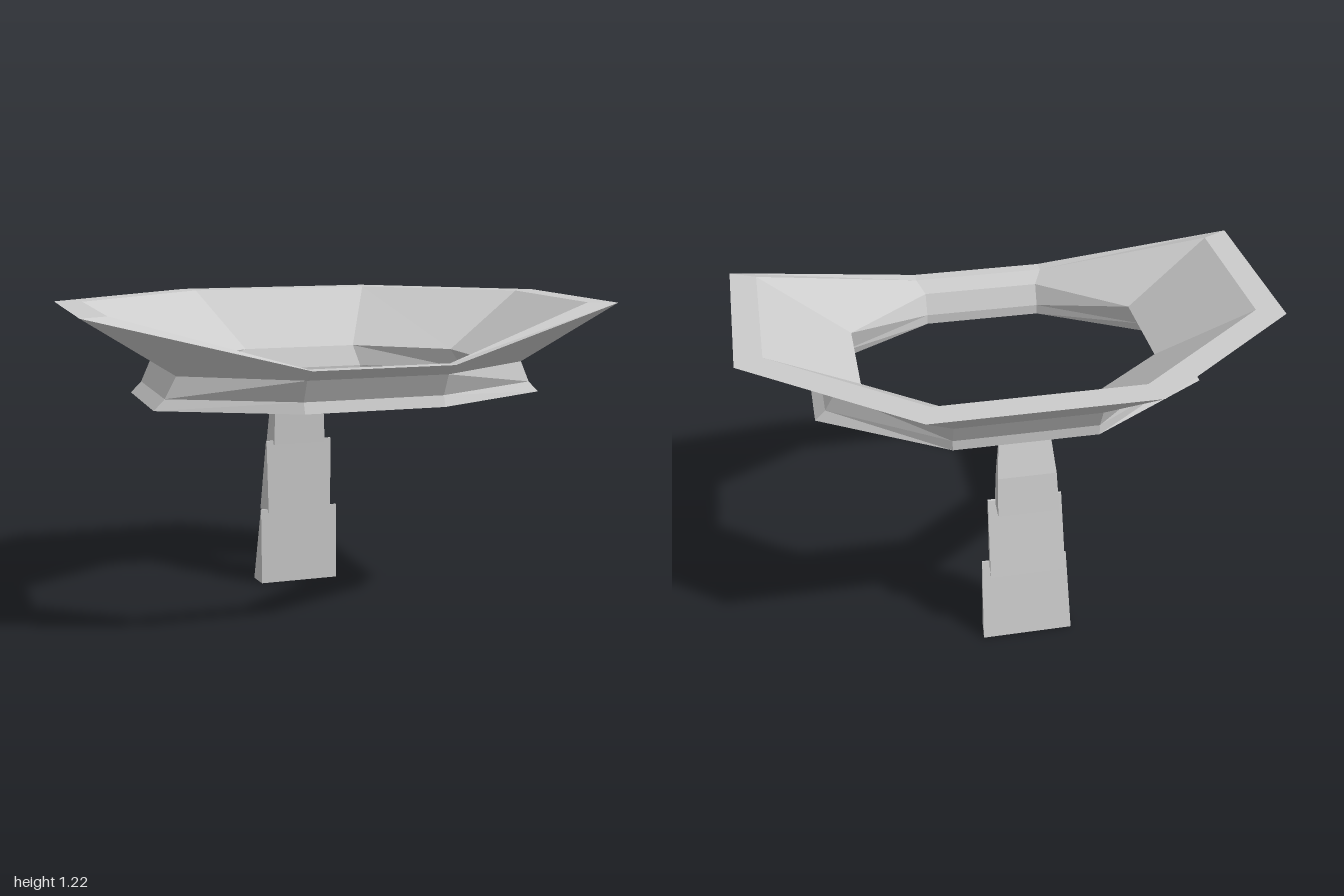
import * as THREE from 'three';

const material = new THREE.MeshStandardMaterial({ color: 0xcccccc, flatShading: true });

// Complete a loop from its +x half, listed from back to front.
const mirrored = half => [...half, ...half.slice().reverse().map(([x, y, z]) => [-x, y, z])];

// Skin a list of equal loops; either close back onto the first loop or cap the ends.
function loft(name, loops, closed) {
  const pos = [];
  const tri = (...pts) => pts.forEach(p => pos.push(...p));
  const n = loops[0].length;
  const bands = closed ? loops.length : loops.length - 1;
  for (let i = 0; i < bands; i++) {
    const up = loops[i], low = loops[(i + 1) % loops.length];
    for (let j = 0; j < n; j++) {
      const k = (j + 1) % n;
      const [a, b, c, d] = [up[j], up[k], low[k], low[j]];
      // Diagonals are mirrored across the centre plane
      if (j < n / 2) { tri(a, b, d); tri(b, c, d); }
      else { tri(a, b, c); tri(a, c, d); }
    }
  }
  if (!closed) {
    const top = loops[0], bottom = loops[loops.length - 1];
    for (let j = 1; j < n - 1; j++) {
      tri(top[0], top[j + 1], top[j]);
      tri(bottom[0], bottom[j], bottom[j + 1]);
    }
  }
  const geometry = new THREE.BufferGeometry();
  geometry.setAttribute('position', new THREE.Float32BufferAttribute(pos, 3));
  geometry.computeVertexNormals();
  const mesh = new THREE.Mesh(geometry, material);
  mesh.name = name;
  return mesh;
}

export function createModel() {
  const group = new THREE.Group();
  group.name = 'flaredCollar';

  // Octagonal collar: loops run down the outside and back up the inside.
  // Each loop: back corner, rear side corner, front side corner, front corner.
  const collar = [
    [[0.40, 1.22, -0.69], [1.00, 1.22, -0.22], [1.00, 1.22, 0.49], [0.26, 1.04, 0.685]], // outer rim
    [[0.27, 1.00, -0.41], [0.66, 1.00, -0.10], [0.66, 1.00, 0.38], [0.26, 1.00, 0.625]], // outer waist
    [[0.27, 0.92, -0.37], [0.70, 0.92, -0.085], [0.70, 0.92, 0.37], [0.26, 0.92, 0.585]], // outer foot
    [[0.27, 0.88, -0.37], [0.74, 0.88, -0.085], [0.74, 0.88, 0.37], [0.26, 0.88, 0.60]], // outer bottom
    [[0.25, 0.88, -0.275], [0.64, 0.88, -0.03], [0.64, 0.88, 0.32], [0.23, 0.88, 0.55]], // inner bottom
    [[0.25, 0.92, -0.275], [0.61, 0.92, -0.04], [0.61, 0.92, 0.32], [0.23, 0.92, 0.55]], // inner foot
    [[0.23, 1.00, -0.31], [0.56, 1.00, -0.055], [0.56, 1.00, 0.325], [0.23, 1.00, 0.585]], // inner waist
    [[0.37, 1.22, -0.59], [0.90, 1.22, -0.17], [0.90, 1.22, 0.44], [0.26, 1.04, 0.635]], // inner rim
  ];
  group.add(loft('collar', collar.map(mirrored), true));

  // Overlapping tail plates; sections are [y, back z, front z, back half-width, front half-width].
  const plates = {
    upperTailPlate: [[0.89, -0.325, -0.285, 0.095, 0.085], [0.74, -0.385, -0.32, 0.11, 0.105], [0.595, -0.42, -0.32, 0.115, 0.11]],
    middleTailPlate: [[0.61, -0.34, -0.33, 0.14, 0.14], [0.305, -0.42, -0.325, 0.145, 0.135]],
    lowerTailPlate: [[0.32, -0.34, -0.335, 0.165, 0.165], [0, -0.42, -0.33, 0.175, 0.165]],
  };
  for (const [name, sections] of Object.entries(plates)) {
    const loops = sections.map(([y, zb, zf, xb, xf]) => mirrored([[xb, y, zb], [xf, y, zf]]));
    group.add(loft(name, loops, false));
  }
  return group;
}
